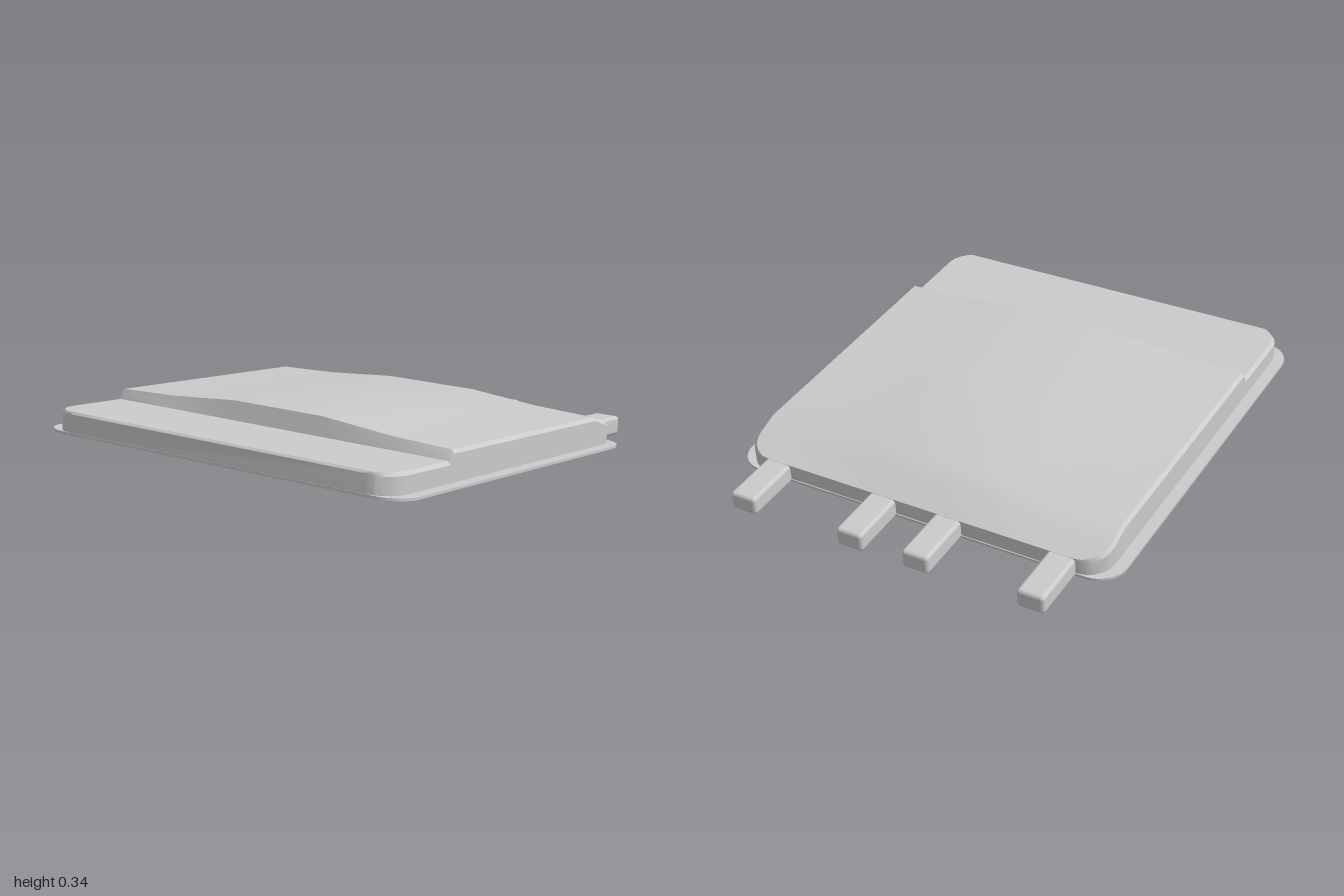
import * as THREE from 'three';
import { toCreasedNormals } from 'three/addons/utils/BufferGeometryUtils.js';
import { RoundedBoxGeometry } from 'three/addons/geometries/RoundedBoxGeometry.js';

const BACK = -0.75, FRONT = 1.003, HALF = 0.838, CORNER = 0.11;

// piecewise linear lookup in [key, value] pairs
function lookup(pairs, t) {
  for (let i = 1; i < pairs.length; i++) {
    const [t0, v0] = pairs[i - 1], [t1, v1] = pairs[i];
    if (t <= t1) return v0 + (v1 - v0) * Math.max(0, (t - t0) / (t1 - t0));
  }
  return pairs[pairs.length - 1][1];
}

// height along the centre line, crown strength along z, and crown drop across x
const height = [[BACK, 0.079], [-0.545, 0.174], [0.581, 0.174], [0.603, 0.096], [0.994, 0.096], [FRONT, 0.087]];
const crown = [[BACK, 0], [-0.545, 1], [0.581, 1], [0.603, 0]];
const drop = [[0, 0], [0.22, 0], [0.55, 0.027], [HALF, 0.037]];

// half width, with quarter-round corners in plan
function halfWidth(z) {
  const d = Math.max(0, CORNER - Math.min(z - BACK, FRONT - z));
  return HALF - CORNER + Math.sqrt(Math.max(0, CORNER * CORNER - d * d));
}

// cross-section running from left foot over the top to the right foot
function section(z) {
  const w = halfWidth(z), top = lookup(height, z), k = lookup(crown, z), e = 0.014;
  const y = (x) => top - k * lookup(drop, Math.abs(x));
  const right = [0.22, 0.38, 0.55].map((x) => [x, y(x)]);
  right.push([w - e, y(w - e)], [w, y(w) - e], [w, 0]);
  const left = right.map(([x, h]) => [-x, h]).reverse();
  return [...left, ...right].map(([x, h]) => [x, h, z]);
}

function bodyGeometry() {
  const arc = [0, 1, 2, 3, 4, 5].map((i) => CORNER * (1 - Math.cos((i * Math.PI) / 10)));
  const stations = [
    ...arc.map((d) => BACK + d), -0.545, 0, 0.581, 0.603,
    ...arc.map((d) => FRONT - d), 0.994,
  ].sort((a, b) => a - b);
  const rings = stations.map(section), n = rings[0].length, m = rings.length;
  const index = [];
  for (let i = 0; i < m - 1; i++) {
    for (let j = 0; j < n - 1; j++) {
      const a = i * n + j, d = a + n;
      index.push(a, d, d + 1, a, d + 1, a + 1);
    }
  }
  // end walls
  const last = (m - 1) * n;
  for (let j = 1; j < n - 1; j++) {
    index.push(0, j, j + 1, last, last + j + 1, last + j);
  }
  const geo = new THREE.BufferGeometry();
  geo.setAttribute('position', new THREE.Float32BufferAttribute(rings.flat(2), 3));
  geo.setIndex(index);
  return toCreasedNormals(geo, 0.6);
}

// thin rounded sheet that carries the body
function plateGeometry() {
  const x = 0.888, f = 1.005, b = -0.754, r = 0.12, q = Math.PI / 2;
  const s = new THREE.Shape();
  s.absarc(x - r, -b - r, r, 0, q);
  s.absarc(-x + r, -b - r, r, q, 2 * q);
  s.absarc(-x + r, -f + r, r, 2 * q, 3 * q);
  s.absarc(x - r, -f + r, r, 3 * q, 4 * q);
  const geo = new THREE.ExtrudeGeometry(s, { depth: 0.011, bevelEnabled: false, curveSegments: 4 });
  geo.rotateX(-Math.PI / 2);
  return toCreasedNormals(geo, 0.6);
}

export function createModel() {
  const model = new THREE.Group();
  model.name = 'tiltedPad';
  const material = new THREE.MeshStandardMaterial({ color: 0xcccccc });
  const tilt = new THREE.Group();
  tilt.name = 'padAssembly';
  tilt.rotation.x = -0.1025;
  tilt.position.y = 0.107;
  model.add(tilt);

  const add = (name, geo) => {
    const mesh = new THREE.Mesh(geo, material);
    mesh.name = name;
    tilt.add(mesh);
    return mesh;
  };
  add('body', bodyGeometry());
  add('basePlate', plateGeometry());

  // four prongs along the back edge
  const prong = new RoundedBoxGeometry(0.12, 0.083, 0.3, 2, 0.016);
  [-0.665, -0.155, 0.15, 0.665].forEach((x, i) => {
    add('prong' + (i + 1), prong).position.set(x, 0.0365, -0.851);
  });
  return model;
}
